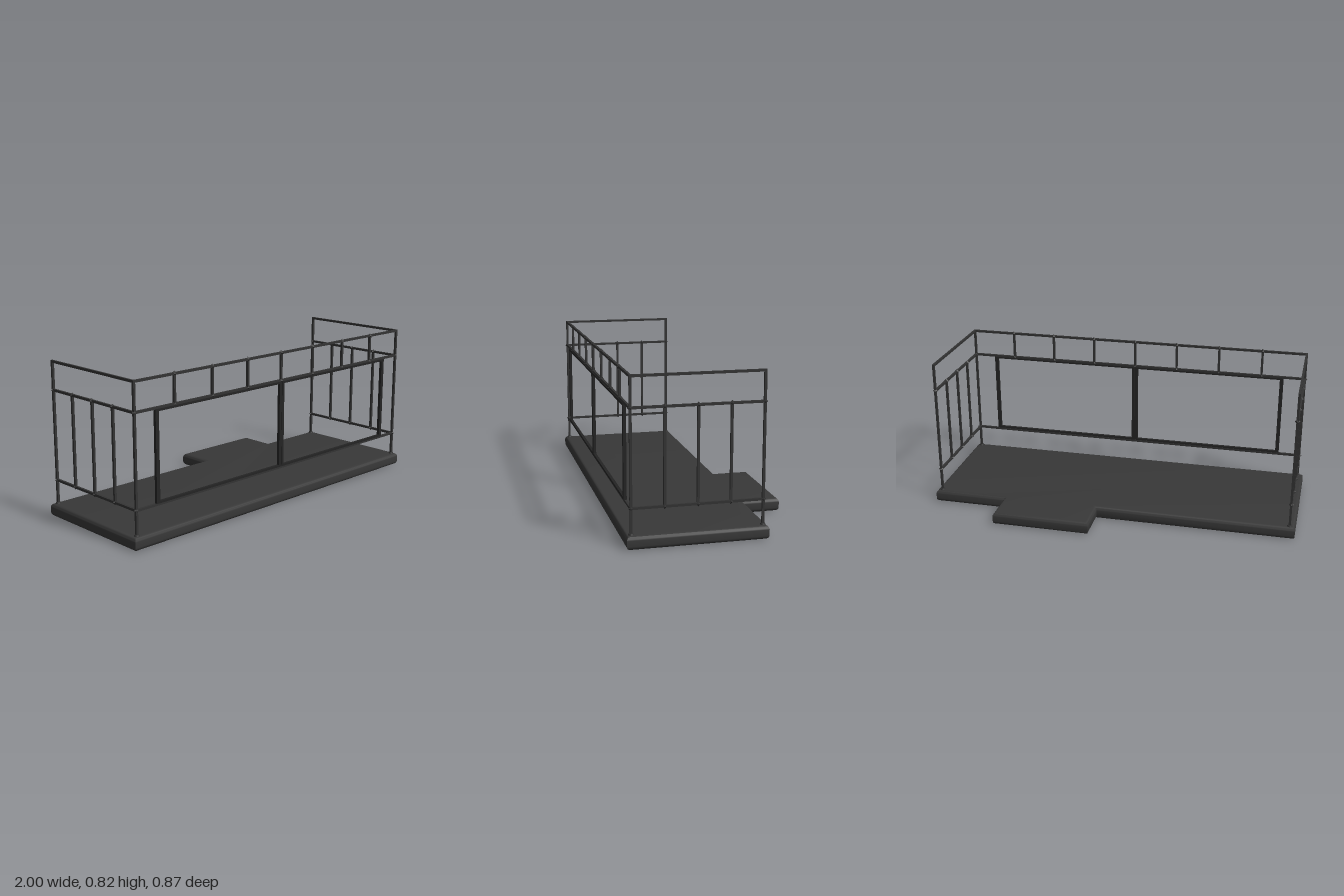
import * as THREE from 'three';
import { toCreasedNormals } from 'three/addons/utils/BufferGeometryUtils.js';

export function createModel() {
  const model = new THREE.Group();
  model.name = 'balcony';
  const slabMat = new THREE.MeshStandardMaterial({ color: 0x383838 });
  slabMat.name = 'dark grey slab';
  const railMat = new THREE.MeshStandardMaterial({ color: 0x333333 });
  railMat.name = 'dark grey metal';
  const frameMat = new THREE.MeshStandardMaterial({ color: 0x242424 });
  frameMat.name = 'near black frame';

  const add = (parent, name, geo, mat, x, y, z) => {
    const m = new THREE.Mesh(geo, mat);
    m.name = name;
    m.position.set(x, y, z);
    parent.add(m);
    return m;
  };
  // Box given by its low and high corners
  const box = (parent, name, mat, x0, x1, y0, y1, z0, z1) =>
    add(parent, name, new THREE.BoxGeometry(x1 - x0, y1 - y0, z1 - z0), mat,
      (x0 + x1) / 2, (y0 + y1) / 2, (z0 + z1) / 2);

  // Floor slab with a door step at the back, all edges softly rounded
  const B = 0.02, H = 0.068, front = 0.437, back = -0.247, step = -0.437;
  const outline = new THREE.Shape([
    [-1 + B, -front + B], [1 - B, -front + B], [1 - B, -back - B],
    [0.6 - B, -back - B], [0.6 - B, -step - B], [0.07 + B, -step - B],
    [0.07 + B, -back - B], [-1 + B, -back - B],
  ].map(([x, y]) => new THREE.Vector2(x, y)));
  const slab = new THREE.ExtrudeGeometry(outline, {
    depth: H - 2 * B, bevelEnabled: true, bevelSize: B, bevelThickness: B, bevelSegments: 5,
  });
  slab.rotateX(-Math.PI / 2);
  add(model, 'floorSlab', toCreasedNormals(slab, 0.7), slabMat, 0, B, 0);

  // Railing heights and positions
  const r = 0.006, X = 0.97, zF = 0.412, zB = -0.222;
  const yTop = 0.806, yMid = 0.661, yLow = 0.193;
  const railing = new THREE.Group();
  railing.name = 'railing';
  model.add(railing);
  const weldGeo = new THREE.OctahedronGeometry(0.014);
  const weld = (x, y, z) => add(railing, 'weld', weldGeo, railMat, x, y, z);

  // Long front rails
  for (const y of [yTop, yMid, yLow])
    box(railing, 'frontRail', railMat, -X, X, y - r, y + r, zF - r, zF + r);

  // Short front balusters
  for (let i = -3; i <= 3; i++) {
    const x = i * X / 4;
    box(railing, 'frontBaluster', railMat, x - r, x + r, yMid, yTop, zF - r, zF + r);
    weld(x, yMid, zF);
    weld(x, yTop, zF);
  }

  // Both sides: posts with foot plates, rails and balusters
  for (const x of [-X, X]) {
    for (const z of [zF, zB]) {
      box(railing, 'post', railMat, x - r, x + r, H - 0.01, yTop + r, z - r, z + r);
      add(railing, 'postFoot', new THREE.CylinderGeometry(0.011, 0.014, 0.008, 16),
        railMat, x, H + 0.003, z);
      weld(x, yMid, z);
      weld(x, yLow, z);
    }
    for (const y of [yTop, yMid, yLow])
      box(railing, 'sideRail', railMat, x - r, x + r, y - r, y + r, zB - r, zF + r);
    for (let i = 1; i <= 3; i++) {
      const z = zF + (zB - zF) * i / 4;
      box(railing, 'sideBaluster', railMat, x - r, x + r, yLow, yMid, z - r, z + r);
      weld(x, yMid, z);
      weld(x, yLow, z);
    }
  }

  // Two open panel frames on the front
  for (const s of [-1, 1]) {
    const frame = new THREE.Group();
    frame.name = s < 0 ? 'rightPanelFrame' : 'leftPanelFrame';
    model.add(frame);
    const z0 = 0.407, z1 = 0.422;
    const stile = (name, a, b) =>
      box(frame, name, frameMat, Math.min(s * a, s * b), Math.max(s * a, s * b), 0.198, 0.657, z0, z1);
    stile('innerStile', 0.001, 0.017);
    stile('outerStile', 0.832, 0.852);
    const a = Math.min(s * 0.001, s * 0.852), b = Math.max(s * 0.001, s * 0.852);
    box(frame, 'topBar', frameMat, a, b, 0.646, 0.657, z0, z1);
    box(frame, 'bottomBar', frameMat, a, b, 0.198, 0.209, z0, z1);
  }
  return model;
}
